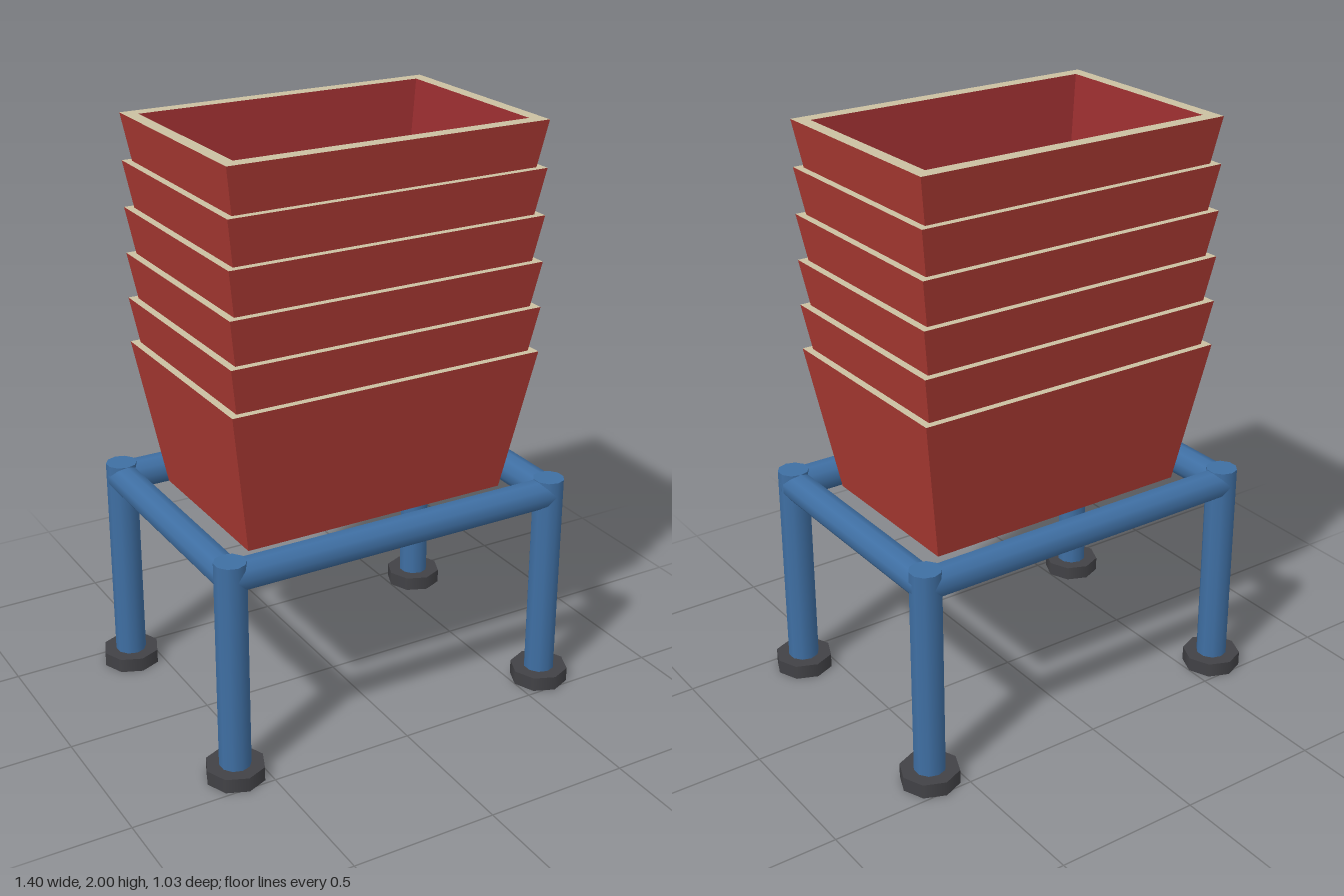
import * as THREE from 'three';

const binRed = new THREE.MeshStandardMaterial({ color: 0xac3a33 });
binRed.name = 'bin red';
const innerRed = new THREE.MeshStandardMaterial({ color: 0x982d2f });
innerRed.name = 'inner red';
const rimCream = new THREE.MeshStandardMaterial({ color: 0xcbc0a2 });
rimCream.name = 'rim cream';
const frameBlue = new THREE.MeshStandardMaterial({ color: 0x3f6fa3 });
frameBlue.name = 'frame blue';
const footGrey = new THREE.MeshStandardMaterial({ color: 0x424246 });
footGrey.name = 'foot grey';

const LEG_X = 0.6, LEG_Z = 0.415, TUBE = 0.053, FRAME_TOP = 0.78;
const BIN_COUNT = 6, BIN_STEP = 0.154, BIN_BOTTOM = 0.73;

function addMesh(parent, name, geometry, material, x = 0, y = 0, z = 0) {
  const mesh = new THREE.Mesh(geometry, material);
  mesh.name = name;
  mesh.position.set(x, y, z);
  parent.add(mesh);
  return mesh;
}

// Four corners of a level rectangle, counter-clockwise seen from above
const rect = (hx, y, hz) => [[-hx, y, hz], [hx, y, hz], [hx, y, -hz], [-hx, y, -hz]];

// Flat-shaded geometry from a list of quads
function quads(list) {
  const pos = [];
  for (const [a, b, c, d] of list) pos.push(...a, ...b, ...c, ...a, ...c, ...d);
  const geometry = new THREE.BufferGeometry();
  geometry.setAttribute('position', new THREE.Float32BufferAttribute(pos, 3));
  geometry.computeVertexNormals();
  return geometry;
}

// Band of four quads joining two rectangles
const band = (p, q) => p.map((_, i) => {
  const j = (i + 1) % 4;
  return [p[i], p[j], q[j], q[i]];
});

export function createModel() {
  const model = new THREE.Group();
  model.name = 'binStackOnStand';

  // Stand: legs, feet and rails
  const stand = new THREE.Group();
  stand.name = 'stand';
  model.add(stand);
  const legGeometry = new THREE.CylinderGeometry(TUBE, TUBE, FRAME_TOP - 0.04, 10);
  const footGeometry = new THREE.CylinderGeometry(0.1, 0.1, 0.05, 8);
  for (const sx of [-1, 1]) {
    for (const sz of [-1, 1]) {
      addMesh(stand, 'leg', legGeometry, frameBlue, sx * LEG_X, (FRAME_TOP + 0.04) / 2, sz * LEG_Z);
      addMesh(stand, 'foot', footGeometry, footGrey, sx * LEG_X, 0.025, sz * LEG_Z);
    }
  }
  const railY = FRAME_TOP - TUBE;
  const longRail = new THREE.CylinderGeometry(TUBE, TUBE, LEG_X * 2, 10).rotateZ(Math.PI / 2);
  const shortRail = new THREE.CylinderGeometry(TUBE, TUBE, LEG_Z * 2, 10).rotateX(Math.PI / 2);
  for (const s of [-1, 1]) {
    addMesh(stand, 'longRail', longRail, frameBlue, 0, railY, s * LEG_Z);
    addMesh(stand, 'shortRail', shortRail, frameBlue, s * LEG_X, railY, 0);
  }

  // Tapered bin: outer shell with base, cream rim, inner walls with floor
  const outerBottom = rect(0.477, 0, 0.297), outerTop = rect(0.56, 0.5, 0.375);
  const innerBottom = rect(0.425, 0.02, 0.252), innerTop = rect(0.515, 0.5, 0.327);
  const shell = quads([...band(outerBottom, outerTop), [...outerBottom].reverse()]);
  const rim = quads(band(outerTop, innerTop));
  const lining = quads([...band(innerTop, innerBottom), innerBottom]);

  // Nested stack of bins
  for (let i = 0; i < BIN_COUNT; i++) {
    const bin = new THREE.Group();
    bin.name = 'bin' + (i + 1);
    bin.position.y = BIN_BOTTOM + i * BIN_STEP;
    addMesh(bin, 'shell', shell, binRed);
    addMesh(bin, 'rim', rim, rimCream);
    addMesh(bin, 'lining', lining, innerRed);
    model.add(bin);
  }
  return model;
}
